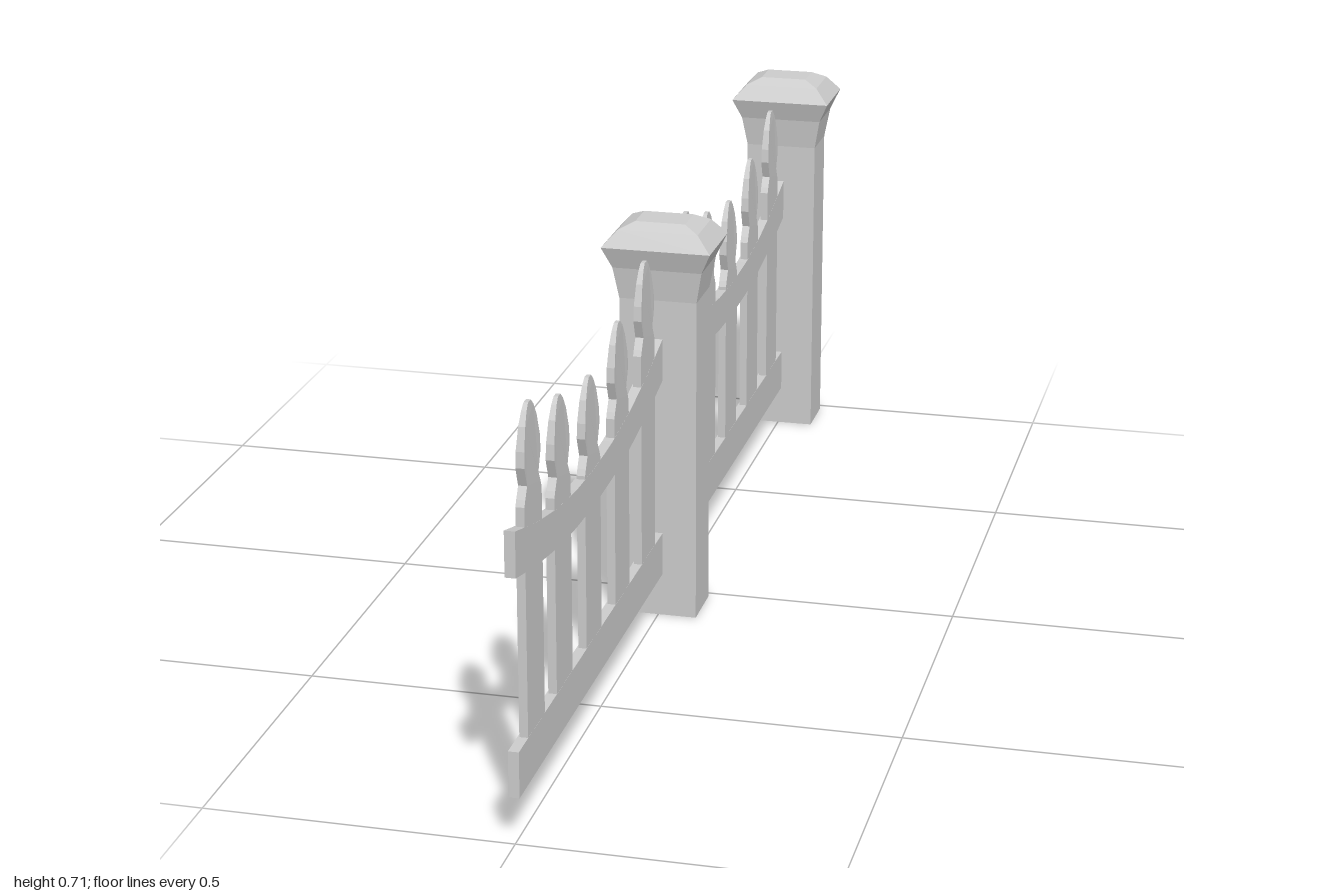
import * as THREE from 'three';

const material = new THREE.MeshStandardMaterial({ color: 0xcccccc, flatShading: true });

function addMesh(parent, name, geometry) {
  const mesh = new THREE.Mesh(geometry, material);
  mesh.name = name;
  parent.add(mesh);
  return mesh;
}

// Applies a rule to every vertex of a geometry
function moveVertices(geometry, rule) {
  const p = geometry.attributes.position;
  const v = new THREE.Vector3();
  for (let i = 0; i < p.count; i++) {
    v.fromBufferAttribute(p, i);
    rule(v);
    p.setXYZ(i, v.x, v.y, v.z);
  }
  geometry.computeVertexNormals();
  return geometry;
}

// Rectangular post with a flared neck and bevelled cap
function postGeometry() {
  const profile = [
    [0, 0], [0.067, 0], [0.067, 0.575], [0.077, 0.63],
    [0.094, 0.667], [0.069, 0.695], [0.043, 0.707], [0, 0.707],
  ].map(([halfWidth, y]) => new THREE.Vector2(halfWidth * Math.SQRT2, y));
  return new THREE.LatheGeometry(profile, 4).rotateY(Math.PI / 4).scale(1, 1, 0.714);
}

// Flat board with a notched, pointed head that thins towards the tip
function picketGeometry(top) {
  const side = [
    [0.046, 0.08], [0.046, top - 0.15], [0.041, top - 0.14], [0.03, top - 0.122],
    [0.043, top - 0.09], [0.041, top - 0.065], [0.03, top - 0.03],
    [0.018, top - 0.01], [0.007, top],
  ];
  const outline = [...side, ...side.map(([x, y]) => [-x, y]).reverse()];
  const shape = new THREE.Shape(outline.map(([x, y]) => new THREE.Vector2(x, y)));
  const thickness = 0.0138;
  const geometry = new THREE.ExtrudeGeometry(shape, { depth: thickness, bevelEnabled: false });
  geometry.translate(0, 0, -thickness / 2).rotateY(Math.PI / 2);
  moveVertices(geometry, (v) => {
    const t = THREE.MathUtils.clamp((v.y - (top - 0.09)) / 0.09, 0, 1);
    v.x *= 1 - 0.5 * t * t;
  });
  return geometry.translate(0.0009, 0, 0);
}

// Upper rail: sags in the middle, with a slanted underside
function saggingRailGeometry(length) {
  const geometry = new THREE.BoxGeometry(0.017, 0.074, length, 1, 1, 8);
  return moveVertices(geometry, (v) => {
    const t = v.z / (length / 2);
    if (v.y < 0 && v.x > 0) v.y += 0.013 * (1 - t * t);
    v.y += 0.402 + 0.068 * t * t;
    v.x -= 0.0005;
  });
}

function createPanel() {
  const panel = new THREE.Group();
  panel.name = 'fencePanel';
  const length = 0.89;
  const lowerRail = addMesh(panel, 'lowerRail', new THREE.BoxGeometry(0.017, 0.076, length));
  lowerRail.position.set(-0.0005, 0.115, 0);
  addMesh(panel, 'upperRail', saggingRailGeometry(length));
  // Pickets follow the sag of the upper rail
  const pickets = [[0.348, 0.674], [0.188, 0.627], [0.012, 0.597], [-0.169, 0.627], [-0.344, 0.674]];
  for (const [z, top] of pickets) {
    addMesh(panel, 'picket', picketGeometry(top)).position.z = z;
  }
  return panel;
}

export function createModel() {
  const model = new THREE.Group();
  model.name = 'picketFence';
  for (const z of [0.064, -0.933]) {
    addMesh(model, 'post', postGeometry()).position.z = z;
  }
  for (const z of [0.555, -0.43]) {
    const panel = createPanel();
    panel.position.z = z;
    model.add(panel);
  }
  return model;
}
